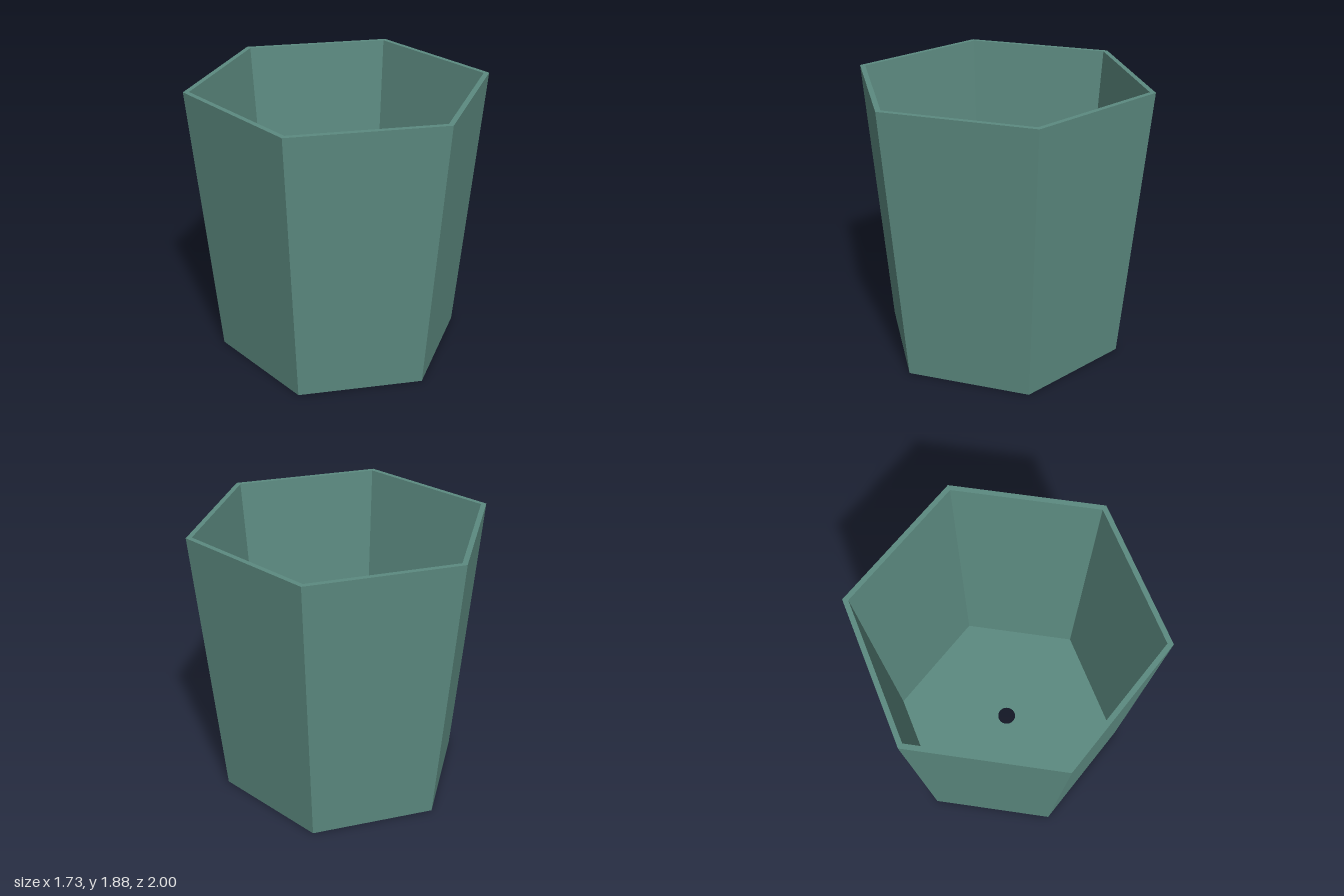
import * as THREE from 'three';

const HEIGHT = 1.875, FLOOR = 0.04;
const BOTTOM_R = 0.833, TOP_R = 1, INNER_BOTTOM_R = 0.8, INNER_TOP_R = 0.962;
const HOLE_R = 0.064, SIDES = 6;

export function createModel() {
  const group = new THREE.Group();
  group.name = 'hexagonalPlanter';
  const glaze = new THREE.MeshStandardMaterial({ color: 0x5c8a80 });
  glaze.name = 'sage green';

  // Tapered wall with rim: a six-sided lathe, outside upwards then inside downwards
  const profile = [
    [INNER_BOTTOM_R, 0], [BOTTOM_R, 0], [TOP_R, HEIGHT],
    [INNER_TOP_R, HEIGHT], [INNER_BOTTOM_R, FLOOR],
  ].map(([r, y]) => new THREE.Vector2(r, y));
  const wallGeometry = new THREE.LatheGeometry(profile, SIDES).toNonIndexed();
  wallGeometry.computeVertexNormals();
  const wall = new THREE.Mesh(wallGeometry, glaze);
  wall.name = 'wall';
  group.add(wall);

  // Hexagonal floor with a round drainage hole
  const hexagon = new THREE.Shape(Array.from({ length: SIDES }, (_, i) => {
    const a = (i / SIDES) * Math.PI * 2;
    return new THREE.Vector2(Math.sin(a) * INNER_BOTTOM_R, Math.cos(a) * INNER_BOTTOM_R);
  }));
  const hole = new THREE.Path();
  hole.absarc(0, 0, HOLE_R, 0, Math.PI * 2, true);
  hexagon.holes.push(hole);
  const floorGeometry = new THREE.ExtrudeGeometry(hexagon, {
    depth: FLOOR, bevelEnabled: false, curveSegments: 32,
  });
  floorGeometry.rotateX(-Math.PI / 2);
  const floor = new THREE.Mesh(floorGeometry, glaze);
  floor.name = 'floor';
  group.add(floor);

  return group;
}
